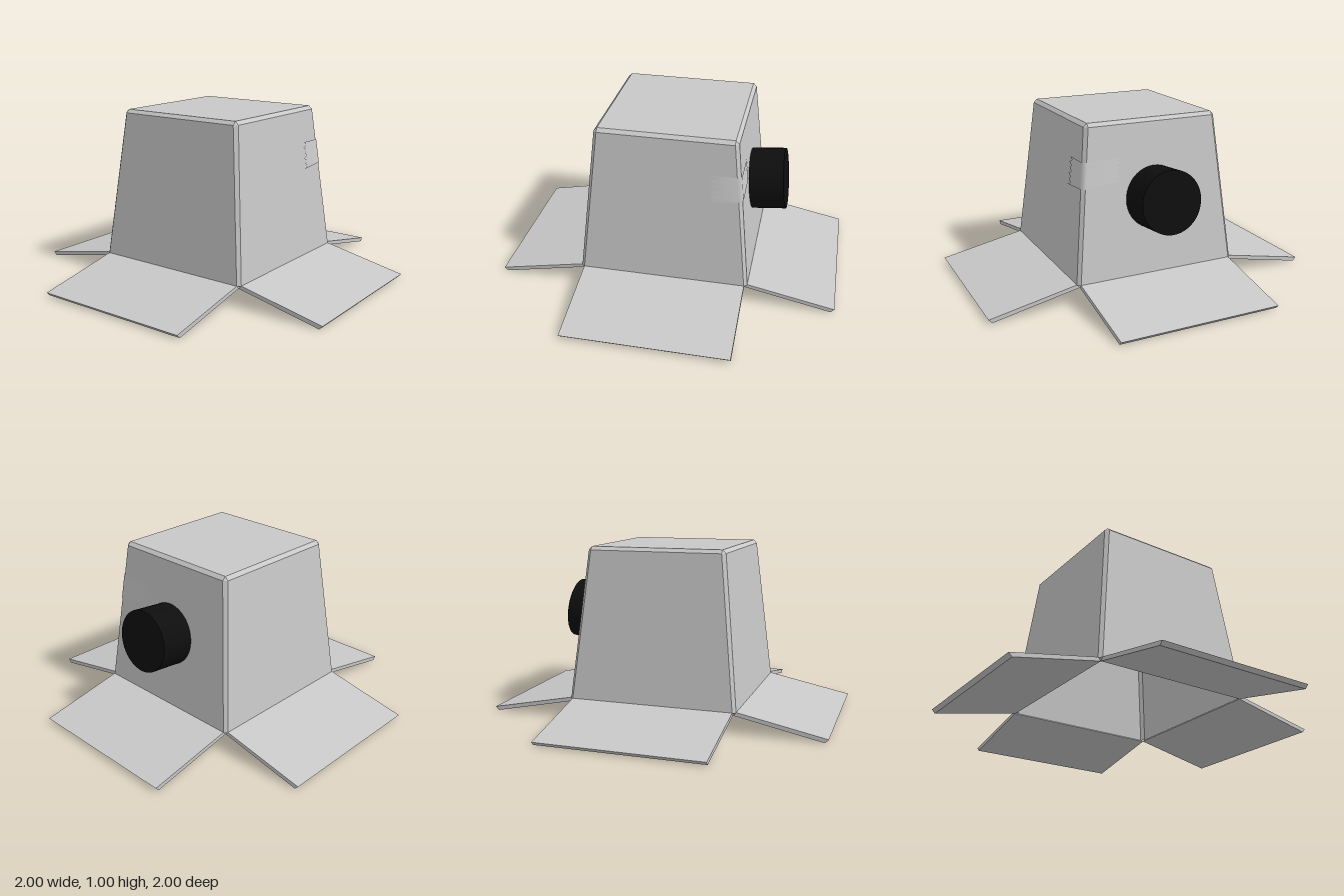
import * as THREE from 'three';

const cardboard = new THREE.MeshStandardMaterial({ color: 0xc8c8c8 });
cardboard.name = 'light grey card';
const black = new THREE.MeshStandardMaterial({ color: 0x0e0e0e });
black.name = 'black';
const tapeGrey = new THREE.MeshStandardMaterial({ color: 0xcccccc, side: THREE.DoubleSide });
tapeGrey.name = 'tape grey';

function geometryFrom(positions, index) {
  const g = new THREE.BufferGeometry();
  g.setAttribute('position', new THREE.Float32BufferAttribute(positions, 3));
  g.setIndex(index);
  return g;
}

// Square ring with cut corners: h = distance to each side, f = half length of its flat part
function ring(h, f, y) {
  return [[h, -f], [h, f], [f, h], [-f, h], [-h, f], [-h, -f], [-f, -h], [f, -h]]
    .flatMap(([x, z]) => [x, y, z]);
}

// Hollow tapered shell, open at the bottom: inside surface, rim, outside surface
function shellGeometry() {
  const profile = [
    [0, 0, 0.98], [0.368, 0.368, 0.98], [0.387, 0.368, 0.962], [0.477, 0.458, 0.108],
    [0.495, 0.477, 0.12], [0.405, 0.385, 0.98], [0.385, 0.385, 1], [0, 0, 1],
  ];
  const positions = profile.flatMap((p) => ring(...p));
  const index = [];
  for (let r = 0; r < profile.length - 1; r++) {
    for (let i = 0; i < 8; i++) {
      const a = r * 8 + i, b = r * 8 + (i + 1) % 8;
      index.push(a, a + 8, b, b, a + 8, b + 8);
    }
  }
  const g = geometryFrom(positions, index).toNonIndexed();
  g.computeVertexNormals();
  return g;
}

// One flap on the +x side, sloping down to the ground
function flapGeometry() {
  const section = new THREE.Shape([
    new THREE.Vector2(0.477, 0.104), new THREE.Vector2(0.98, 0),
    new THREE.Vector2(1, 0.021), new THREE.Vector2(0.495, 0.123),
  ]);
  return new THREE.ExtrudeGeometry(section, { depth: 0.955, bevelEnabled: false })
    .translate(0, 0, -0.4775);
}

// Torn strip wrapped round the front corner, lying just off the walls
function tapeGeometry() {
  const rows = 10, lift = 0.005;
  const positions = [], index = [];
  for (let j = 0; j <= rows; j++) {
    const t = j / rows;
    const tear = [0, 0.035, 0.01, 0.03][j % 4];
    const yFront = 0.635 + 0.16 * t, yCorner = 0.65 + 0.145 * t, ySide = 0.67 + 0.13 * t;
    const wall = (y) => 0.495 - 0.1047 * (y - 0.12) + lift;
    const flat = 0.477 - 0.107 * (yCorner - 0.12);
    positions.push(
      0.25 + tear, yFront, wall(yFront),
      flat, yCorner, wall(yCorner),
      wall(yCorner), yCorner, flat,
      wall(ySide), ySide, 0.2 + tear,
    );
    if (j === rows) break;
    for (let i = 0; i < 3; i++) {
      const a = j * 4 + i;
      index.push(a, a + 1, a + 4, a + 1, a + 5, a + 4);
    }
  }
  const g = geometryFrom(positions, index);
  g.computeVertexNormals();
  return g;
}

export function createModel() {
  const model = new THREE.Group();
  model.name = 'upturnedBox';
  const add = (name, geometry, material) => {
    const mesh = new THREE.Mesh(geometry, material);
    mesh.name = name;
    model.add(mesh);
    return mesh;
  };

  add('boxShell', shellGeometry(), cardboard);

  const flap = flapGeometry();
  ['leftFlap', 'backFlap', 'rightFlap', 'frontFlap'].forEach((name, i) => {
    add(name, flap, cardboard).rotation.y = i * Math.PI / 2;
  });

  // Drum standing square to the sloping side wall
  const drum = add('sideDrum', new THREE.CylinderGeometry(0.18, 0.18, 0.21, 48), black);
  drum.position.set(0.543, 0.566, 0);
  drum.rotation.z = -THREE.MathUtils.degToRad(84);

  add('cornerTape', tapeGeometry(), tapeGrey);
  return model;
}
